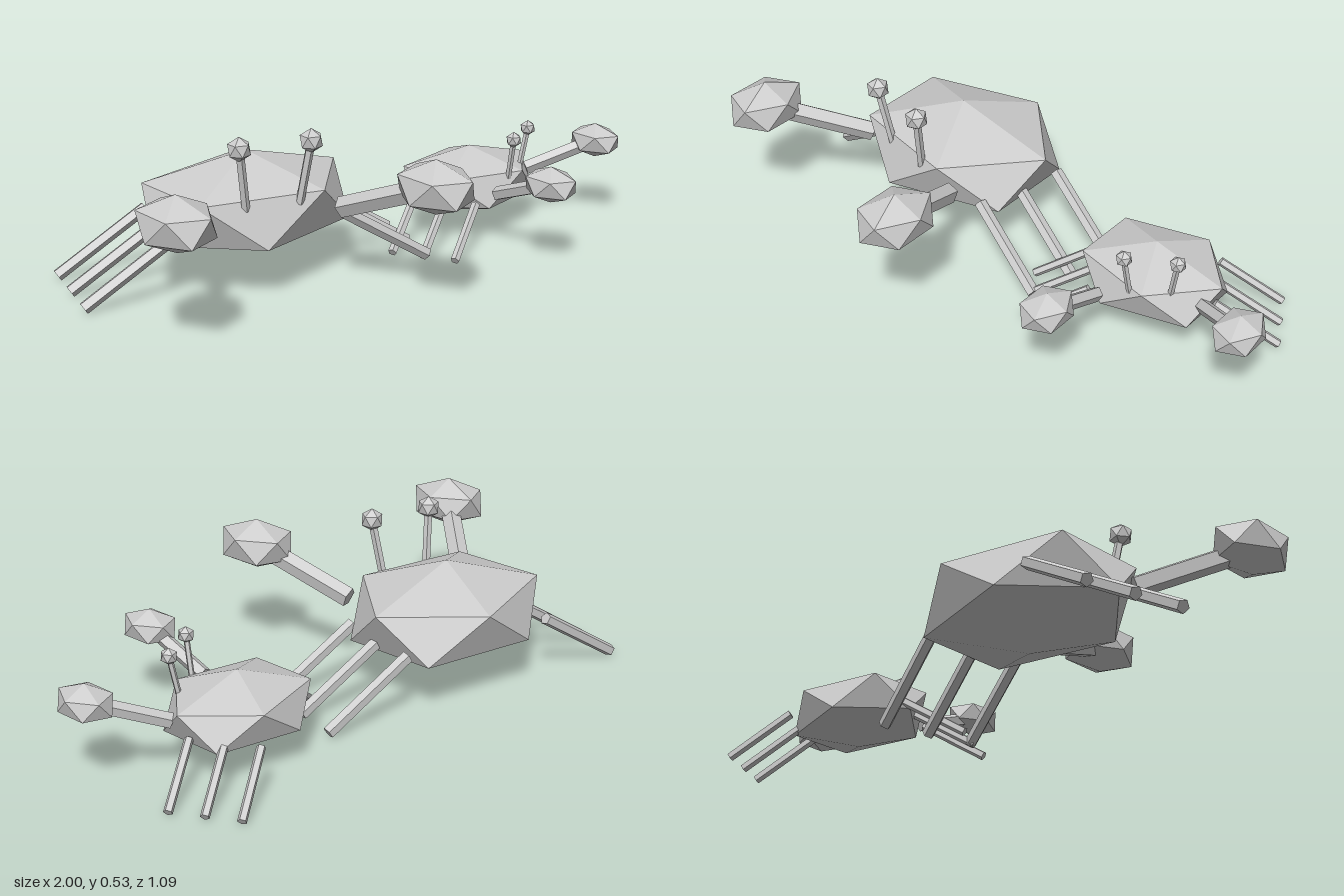
import * as THREE from 'three';

const shell = new THREE.MeshStandardMaterial({ name: 'shellGrey', color: 0xcccccc, flatShading: true });

// Icosahedron standing on one of its corners
const gem = new THREE.IcosahedronGeometry(1, 0);
gem.rotateZ(Math.atan(2 / (1 + Math.sqrt(5))));
gem.rotateY(Math.PI);

function blob(name, pos, size, turn) {
  const mesh = new THREE.Mesh(gem, shell);
  mesh.name = name;
  mesh.position.set(...pos);
  mesh.scale.set(...size);
  mesh.rotation.y = -turn; // blobs stay square to the world axes
  return mesh;
}

// Straight few-sided rod between two points
function rod(name, from, to, radius, sides) {
  const a = new THREE.Vector3(...from), b = new THREE.Vector3(...to);
  const dir = b.clone().sub(a);
  const mesh = new THREE.Mesh(new THREE.CylinderGeometry(radius, radius, dir.length(), sides), shell);
  mesh.name = name;
  mesh.position.copy(a).add(b).multiplyScalar(0.5);
  mesh.quaternion.setFromUnitVectors(new THREE.Vector3(0, 1, 0), dir.normalize());
  return mesh;
}

function crab(name, x, z, scale, turn) {
  const g = new THREE.Group();
  g.name = name;
  g.add(blob('body', [0, 0.245, 0], [0.394, 0.167, 0.311], turn));
  for (const s of [-1, 1]) {
    const side = s > 0 ? 'left' : 'right';
    // Claw on its arm
    g.add(rod(side + 'Arm', [s * 0.233, 0.255, 0.222], [s * 0.404, 0.386, 0.53], 0.035, 5));
    g.add(blob(side + 'Claw', [s * 0.404, 0.386, 0.53], [0.117, 0.086, 0.149], turn));
    // Eye on its stalk
    g.add(rod(side + 'EyeStalk', [s * 0.088, 0.29, 0.23], [s * 0.116, 0.495, 0.262], 0.014, 5));
    g.add(blob(side + 'Eye', [s * 0.116, 0.495, 0.262], [0.039, 0.039, 0.039], turn));
    // Three parallel walking legs
    for (let i = 0; i < 3; i++) {
      const lz = -0.182 + i * 0.156;
      g.add(rod(side + 'Leg' + (i + 1), [s * 0.28, 0.205, lz], [s * 0.577, 0.018, lz], 0.021, 5));
    }
  }
  g.position.set(x, 0, z);
  g.rotation.y = turn;
  g.scale.setScalar(scale);
  return g;
}

export function createModel() {
  const model = new THREE.Group();
  model.name = 'crabPair';
  model.add(crab('largeCrab', -0.37, -0.207, 1, -0.262));
  model.add(crab('smallCrab', 0.5, -0.108, 0.7, 0.5));
  return model;
}
